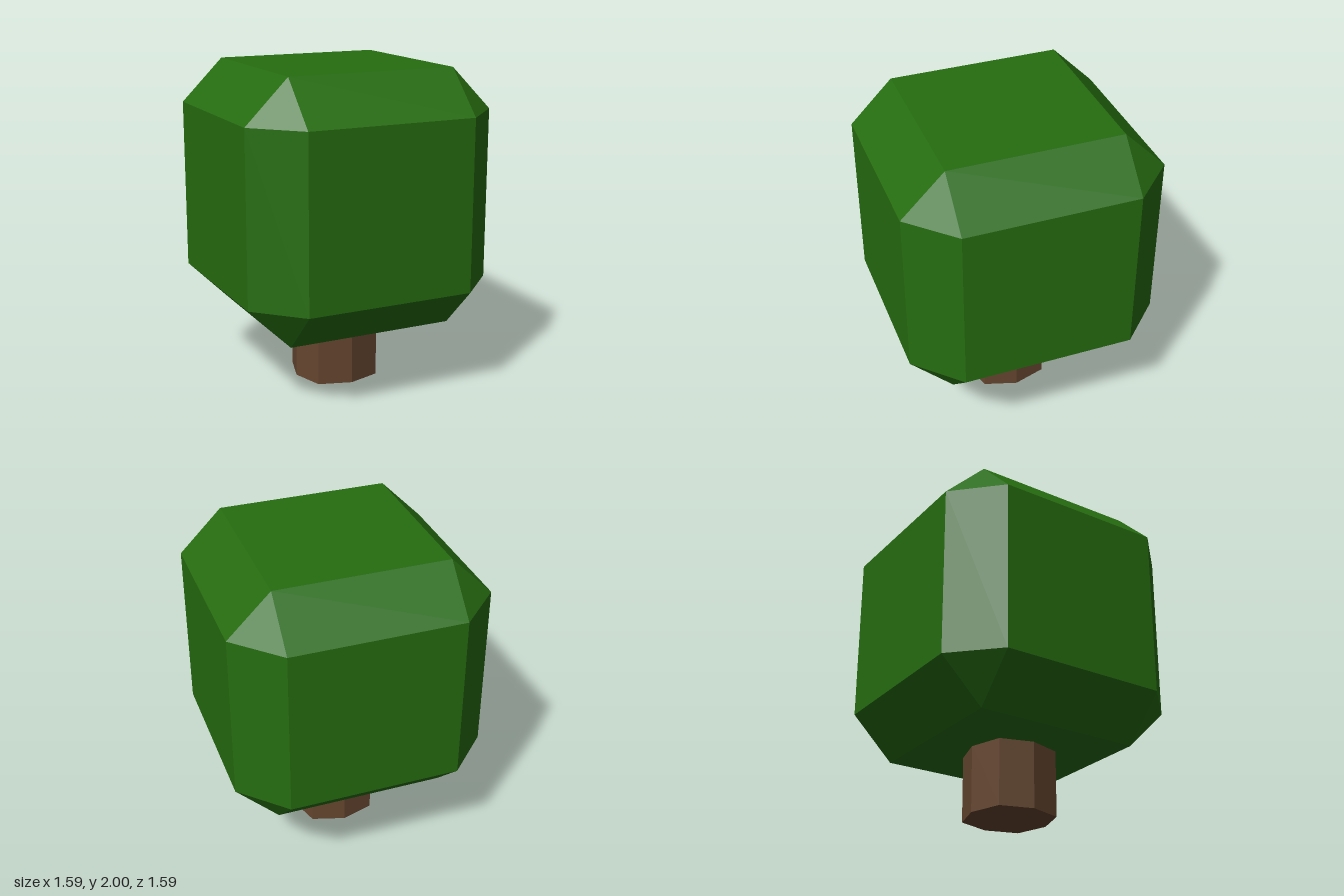
import * as THREE from 'three';
import { ConvexGeometry } from 'three/addons/geometries/ConvexGeometry.js';

export function createModel() {
  const tree = new THREE.Group();
  tree.name = 'tree';

  const leafGreen = new THREE.MeshStandardMaterial({ color: 0x266d10 });
  leafGreen.name = 'leafGreen';
  const barkBrown = new THREE.MeshStandardMaterial({ color: 0x65462f });
  barkBrown.name = 'barkBrown';

  // Crown: a cube with wide 45 degree chamfers and triangular corners
  const outer = 0.794, inner = 0.53;
  const corners = [];
  for (const sx of [-1, 1]) for (const sy of [-1, 1]) for (const sz of [-1, 1]) {
    for (let axis = 0; axis < 3; axis++) {
      const size = [inner, inner, inner];
      size[axis] = outer;
      corners.push(new THREE.Vector3(sx * size[0], sy * size[1], sz * size[2]));
    }
  }
  const crown = new THREE.Mesh(new ConvexGeometry(corners), leafGreen);
  crown.name = 'crown';
  crown.position.y = 2 - outer;
  tree.add(crown);

  // Trunk: an eight-sided prism, slightly wider on its diagonals
  const outline = [];
  for (let i = 0; i < 8; i++) {
    const angle = (i * Math.PI) / 4;
    const radius = i % 2 ? 0.288 : 0.266;
    outline.push(new THREE.Vector2(radius * Math.cos(angle), radius * Math.sin(angle)));
  }
  const trunkGeometry = new THREE.ExtrudeGeometry(new THREE.Shape(outline), {
    depth: 0.415,
    bevelEnabled: false,
  });
  trunkGeometry.rotateX(-Math.PI / 2);
  const trunk = new THREE.Mesh(trunkGeometry, barkBrown);
  trunk.name = 'trunk';
  trunk.position.z = 0.007;
  tree.add(trunk);

  return tree;
}
